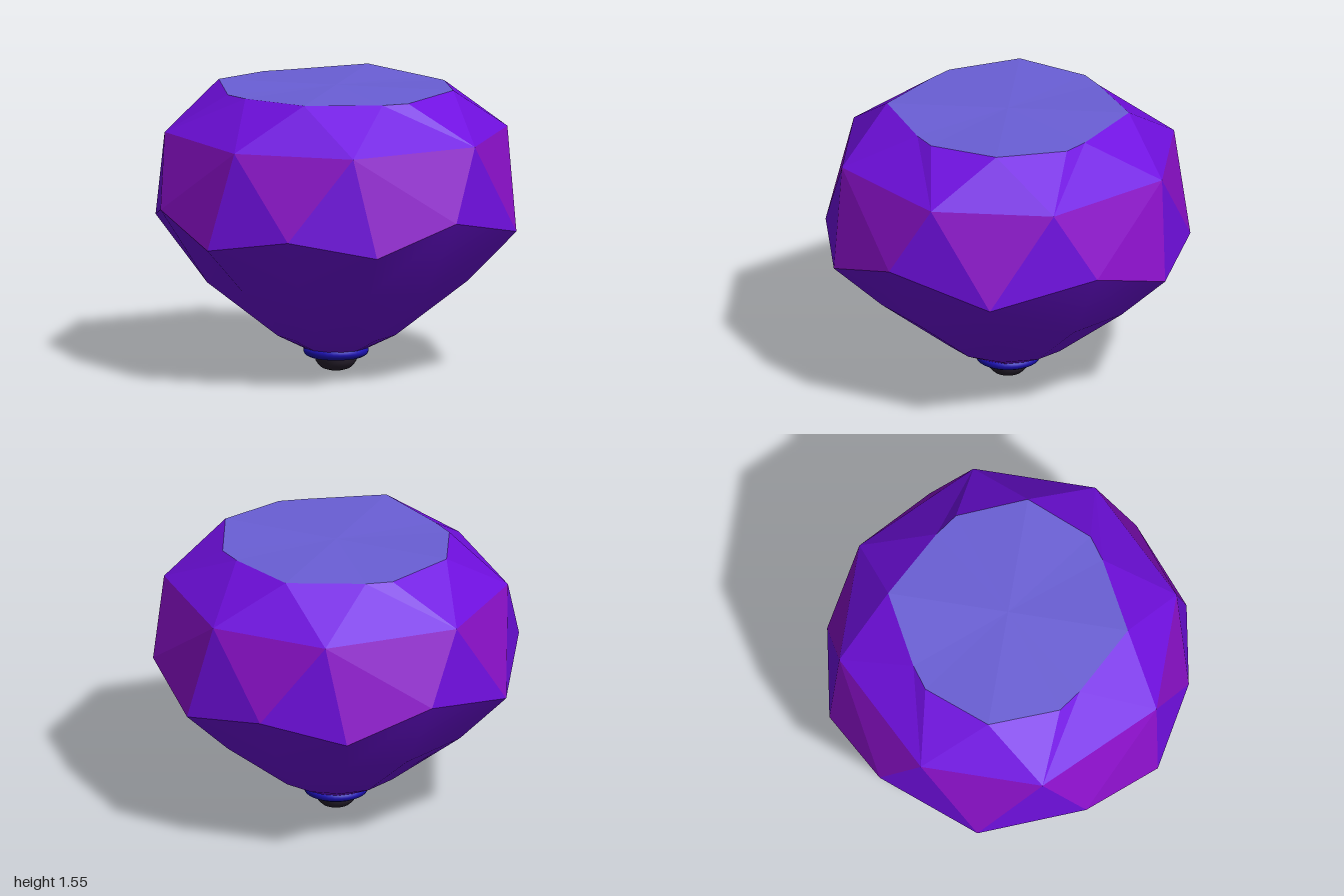
import * as THREE from 'three';
import { mergeVertices } from 'three/addons/utils/BufferGeometryUtils.js';

const mat = (name, color) => {
  const m = new THREE.MeshStandardMaterial({ color });
  m.name = name;
  return m;
};

// Builds a geometry from convex faces of one quadrant, mirrored to all four
// and wound so that each face looks away from the gem's centre.
function mirroredFaces(faces, smooth = false) {
  const pos = [];
  const centre = new THREE.Vector3(0, 0.85, 0);
  for (const sx of [1, -1]) for (const sz of [1, -1]) for (const face of faces) {
    const p = face.map(([x, y, z]) => new THREE.Vector3(x * sx, y, z * sz));
    for (let i = 1; i < p.length - 1; i++) {
      const tri = [p[0], p[i], p[i + 1]];
      const n = tri[1].clone().sub(tri[0]).cross(tri[2].clone().sub(tri[0]));
      const mid = tri[0].clone().add(tri[1]).add(tri[2]).divideScalar(3).sub(centre);
      if (n.dot(mid) < 0) tri.reverse();
      tri.forEach(v => pos.push(v.x, v.y, v.z));
    }
  }
  let g = new THREE.BufferGeometry();
  g.setAttribute('position', new THREE.Float32BufferAttribute(pos, 3));
  if (smooth) g = mergeVertices(g, 1e-4);
  g.computeVertexNormals();
  return g;
}

export function createModel() {
  const group = new THREE.Group();
  const violet = mat('violet', 0x700fe0);
  const purple = mat('purple', 0x8a10c8);
  const periwinkle = mat('periwinkle', 0x6a5fd6);
  const blue = mat('deep blue', 0x1c10b4);
  const black = mat('dark setting', 0x2a2230);
  const add = (name, geometry, material) => {
    const mesh = new THREE.Mesh(geometry, material);
    mesh.name = name;
    group.add(mesh);
  };

  // Key corners of one quadrant
  const tableFront = [0, 1.55, 0.65], tableSide = [0.65, 1.55, 0];
  const notchFront = [0.38, 1.535, 0.45], notchSide = [0.5, 1.535, 0.365];
  const crownFront = [0.33, 1.31, 0.86], crownSide = [0.86, 1.31, 0.33];
  const crownMidFront = [0, 1.31, 0.86], crownMidSide = [0.86, 1.31, 0];
  const girdle = [[1, 0.8, 0], [0.82, 0.93, 0.56], [0.47, 0.78, 0.89], [0, 0.86, 0.98]];

  // Flat table on top
  add('table', mirroredFaces([
    [[0, 1.55, 0], tableFront, notchFront, notchSide, tableSide],
  ]), periwinkle);

  // Sloping crown facets, with a folded facet on each diagonal
  add('crown', mirroredFaces([
    [tableFront, crownMidFront, crownFront],
    [tableFront, crownFront, notchFront],
    [notchFront, crownFront, crownSide, notchSide],
    [notchSide, crownSide, tableSide],
    [tableSide, crownSide, crownMidSide],
  ]), violet);

  // Purple facets: pointed ones at front, back and sides, broad ones on the diagonals
  add('purpleFacets', mirroredFaces([
    [crownMidFront, crownFront, girdle[3]],
    [crownMidSide, crownSide, girdle[0]],
    [crownFront, crownSide, girdle[1], girdle[2]],
  ]), purple);

  // Violet triangles between them
  add('violetFacets', mirroredFaces([
    [crownFront, girdle[2], girdle[3]],
    [crownSide, girdle[0], girdle[1]],
  ]), violet);

  // Softly rounded lower cone, from the girdle to the tip
  const rings = [girdle];
  for (const [r, y] of [[0.73, 0.52], [0.33, 0.205], [0.17, 0.125], [0, 0.12]]) {
    rings.push(girdle.map(([x, , z]) => {
      const k = r / Math.hypot(x, z);
      return [x * k, y, z * k];
    }));
  }
  const lower = [];
  for (let j = 0; j < rings.length - 1; j++) {
    for (let i = 0; i < 3; i++) {
      const [a, b, c, d] = [rings[j][i], rings[j][i + 1], rings[j + 1][i + 1], rings[j + 1][i]];
      lower.push(j === rings.length - 2 ? [a, b, c] : [a, b, c, d]);
    }
  }
  add('pavilion', mirroredFaces(lower, true), violet);

  // Collar and rounded tip
  const lathe = pts => new THREE.LatheGeometry(pts.map(p => new THREE.Vector2(...p)), 32);
  add('collar', lathe([[0, 0.07], [0.11, 0.07], [0.145, 0.077], [0.168, 0.09],
    [0.175, 0.107], [0.172, 0.123], [0.155, 0.135], [0, 0.14]]), blue);
  add('tip', lathe([[0, 0], [0.04, 0.003], [0.075, 0.014], [0.095, 0.032],
    [0.11, 0.055], [0.115, 0.08]]), black);

  return group;
}
